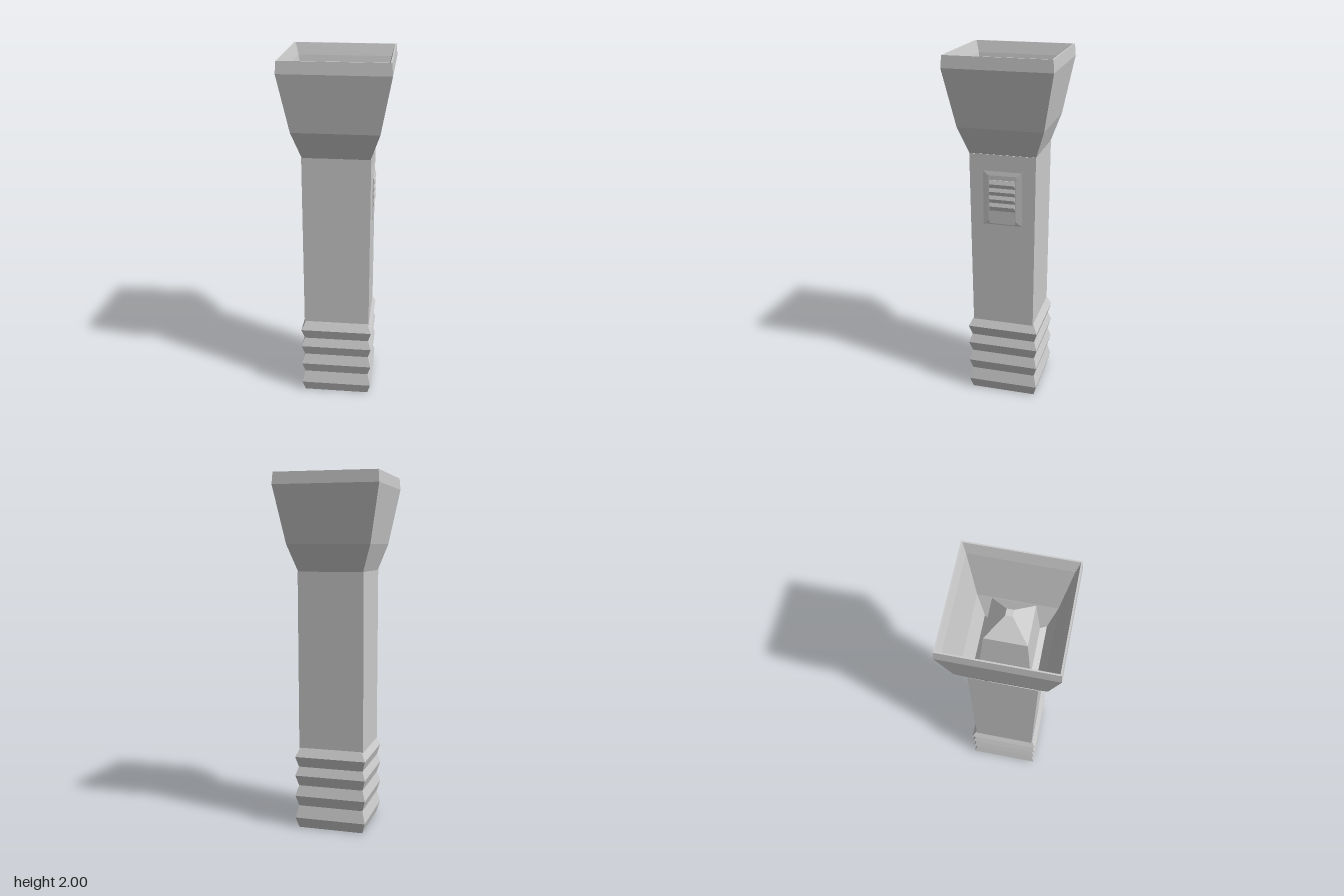
import * as THREE from 'three';

const material = new THREE.MeshStandardMaterial({ color: 0xcccccc, flatShading: true });

function addPart(group, name, geometry) {
  const mesh = new THREE.Mesh(geometry, material);
  mesh.name = name;
  group.add(mesh);
  return mesh;
}

// Square-section turned part: profile of [half width, height]
function squareLathe(profile) {
  const points = profile.map(([w, y]) => new THREE.Vector2(w * Math.SQRT2, y));
  return new THREE.LatheGeometry(points, 4).rotateY(Math.PI / 4);
}

export function createModel() {
  const torch = new THREE.Group();
  torch.name = 'squareTorch';

  // Ribbed tail grip with four ridges and a closed base
  const grip = [[0, 0], [0.187, 0], [0.204, 0.06]];
  for (const y of [0.13, 0.25, 0.36]) grip.push([0.187, y], [0.204, y + 0.06]);
  grip.push([0.18, 0.47]);
  addPart(torch, 'grip', squareLathe(grip));

  // Main tube, slightly narrower front to back
  const tube = squareLathe([[0.187, 0.465], [0.187, 1.47]]);
  const pos = tube.attributes.position;
  for (let i = 0; i < pos.count; i++) {
    pos.setZ(i, pos.getZ(i) * (pos.getY(i) < 1 ? 0.945 : 0.985));
  }
  addPart(torch, 'tube', tube);

  // Flared head shell with a thin rim
  addPart(torch, 'head', squareLathe([
    [0.184, 1.47], [0.235, 1.62], [0.293, 1.935], [0.288, 2], [0.28, 2], [0.262, 1.935],
  ]));

  // Hollow reflector
  addPart(torch, 'reflector', squareLathe([
    [0.262, 1.935], [0.21, 1.63], [0.165, 1.49],
  ]));

  // Bulb: sloping foot, tall collar and blunt pyramid tip
  addPart(torch, 'bulb', squareLathe([
    [0.165, 1.49], [0.133, 1.525], [0.107, 1.83], [0.018, 1.93], [0, 1.93],
  ]));

  // Low raised seat for the switch, tapered towards its outer face
  const seat = new THREE.BoxGeometry(0.012, 0.4, 0.34);
  const sp = seat.attributes.position;
  for (let i = 0; i < sp.count; i++) {
    if (sp.getX(i) > 0) {
      sp.setY(i, sp.getY(i) * 0.65);
      sp.setZ(i, sp.getZ(i) * 0.46);
    }
  }
  addPart(torch, 'switchSeat', seat).position.set(0.185, 1.225, 0);

  // Slider: plain lower pad and ridged thumb pad above
  const side = new THREE.Shape();
  side.moveTo(0.184, 1.08);
  side.lineTo(0.194, 1.08);
  side.lineTo(0.194, 1.155);
  const ridges = 4, pitch = 0.17 / ridges;
  for (let i = 0; i < ridges; i++) {
    const y = 1.158 + i * pitch;
    side.lineTo(0.195, y);
    side.lineTo(0.201, y + pitch / 2);
  }
  side.lineTo(0.195, 1.33);
  side.lineTo(0.184, 1.33);
  side.closePath();
  const slider = new THREE.ExtrudeGeometry(side, { depth: 0.144, bevelEnabled: false });
  addPart(torch, 'switchSlider', slider.translate(0, 0, -0.072));

  return torch;
}
